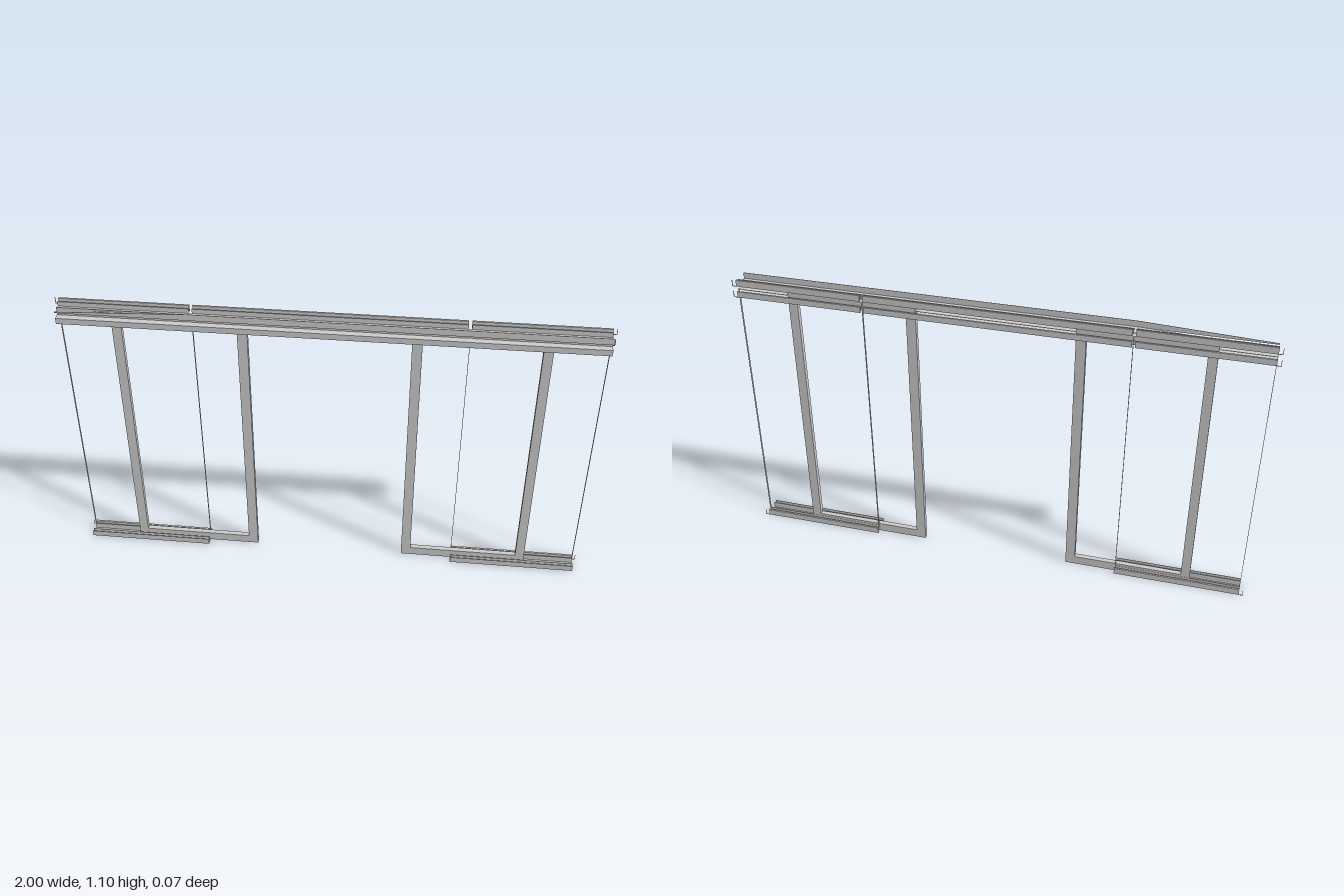
import * as THREE from 'three';

const material = new THREE.MeshStandardMaterial({ color: 0xcccccc, side: THREE.DoubleSide, flatShading: true });
const T = 0.0015; // sheet thickness

export function createModel() {
  const model = new THREE.Group();
  model.name = 'slidingDoorFrame';

  const add = (name, geometry, parent = model) => {
    const mesh = new THREE.Mesh(geometry, material);
    mesh.name = name;
    parent.add(mesh);
    return mesh;
  };

  // Box given by its two extremes on each axis
  const box = (name, x0, x1, y0, y1, z0, z1, parent = model) => {
    const geometry = new THREE.BoxGeometry(Math.abs(x1 - x0), y1 - y0, z1 - z0);
    geometry.translate((x0 + x1) / 2, (y0 + y1) / 2, (z0 + z1) / 2);
    return add(name, geometry, parent);
  };

  // Thin sheet from an outline
  const sheet = (points) => new THREE.ExtrudeGeometry(
    new THREE.Shape(points.map(([x, y]) => new THREE.Vector2(x, y))),
    { depth: T, bevelEnabled: false });

  const END = 0.985, FRONT = 0.035, INNER = -0.012;

  // Upper header track: front plate and shelf, tapered towards the right end
  add('upperTrackFront', sheet([[-END, 1.075], [END, 1.075], [END, 1.1], [-0.5, 1.1], [-END, 1.08]])
    .translate(0, 0, FRONT - T));
  add('upperTrackShelf', sheet([[-END, INNER], [END, INNER], [END, FRONT], [-0.5, FRONT], [-END, 0]])
    .rotateX(Math.PI / 2).translate(0, 1.075 + T, 0));

  // Lower header track
  box('lowerTrackFront', -END, END, 1.03, 1.053, FRONT - T, FRONT);
  box('lowerTrackBottom', -END, END, 1.03, 1.03 + T, INNER, FRONT);
  box('lowerTrackTop', -END, END, 1.053 - T, 1.053, INNER, FRONT);

  // Header web and rear rails, split at the fixed pane joints
  for (const [x0, x1] of [[-END, -0.506], [-0.494, 0.488], [0.5, END]]) {
    box('headerWeb', x0, x1, 1.045, 1.083, 0.006, 0.009);
    box('upperRearRail', x0, x1, 1.075, 1.1, -0.034, -0.027);
    box('lowerRearRail', x0, x1, 1.03, 1.053, -0.034, -0.027);
    box('upperRearLip', x0, x1, 1.075, 1.095, INNER - 0.003, INNER);
  }

  // Each side: sliding door leaf, floor sill, pane edges and end brackets
  for (const side of [1, -1]) {
    const half = new THREE.Group();
    half.name = side > 0 ? 'leftSide' : 'rightSide';
    model.add(half);
    const part = (name, x0, x1, ...rest) => box(name, side * x0, side * x1, ...rest, half);

    // Door leaf
    const Z0 = -0.014, Z1 = 0.006;
    part('innerStile', 0.295, 0.332, 0, 1.064, Z0, Z1);
    part('outerStile', 0.755, 0.79, 0, 1.064, Z0, Z1);
    part('bottomRail', 0.332, 0.755, 0, 0.035, Z0, Z1);
    part('topRail', 0.332, 0.755, 1.03, 1.064, Z0, Z1);

    // Floor sill
    part('sillFront', 0.495, END, 0, 0.025, FRONT - T, FRONT);
    part('sillBottom', 0.495, END, 0, T, INNER, FRONT);
    part('sillInnerLip', 0.495, END, 0, 0.025, 0.019, 0.019 + T);
    part('sillRearLip', 0.495, END, 0, 0.025, INNER - 0.003, INNER);
    part('sillRearRail', 0.495, END, 0, 0.025, -0.034, -0.027);

    // Fixed pane edges
    for (const x of [0.498, 0.985]) part('paneEdge', x - T, x, 0.02, 1.06, -0.021, INNER);

    // End brackets
    for (const y of [0, 1.03, 1.075]) {
      part('bracketArm', END, 1, y, y + T, -0.035, -0.032);
      part('bracketPlate', 1 - T, 1, y, y + 0.024, -0.035, -0.032);
    }
  }
  return model;
}
